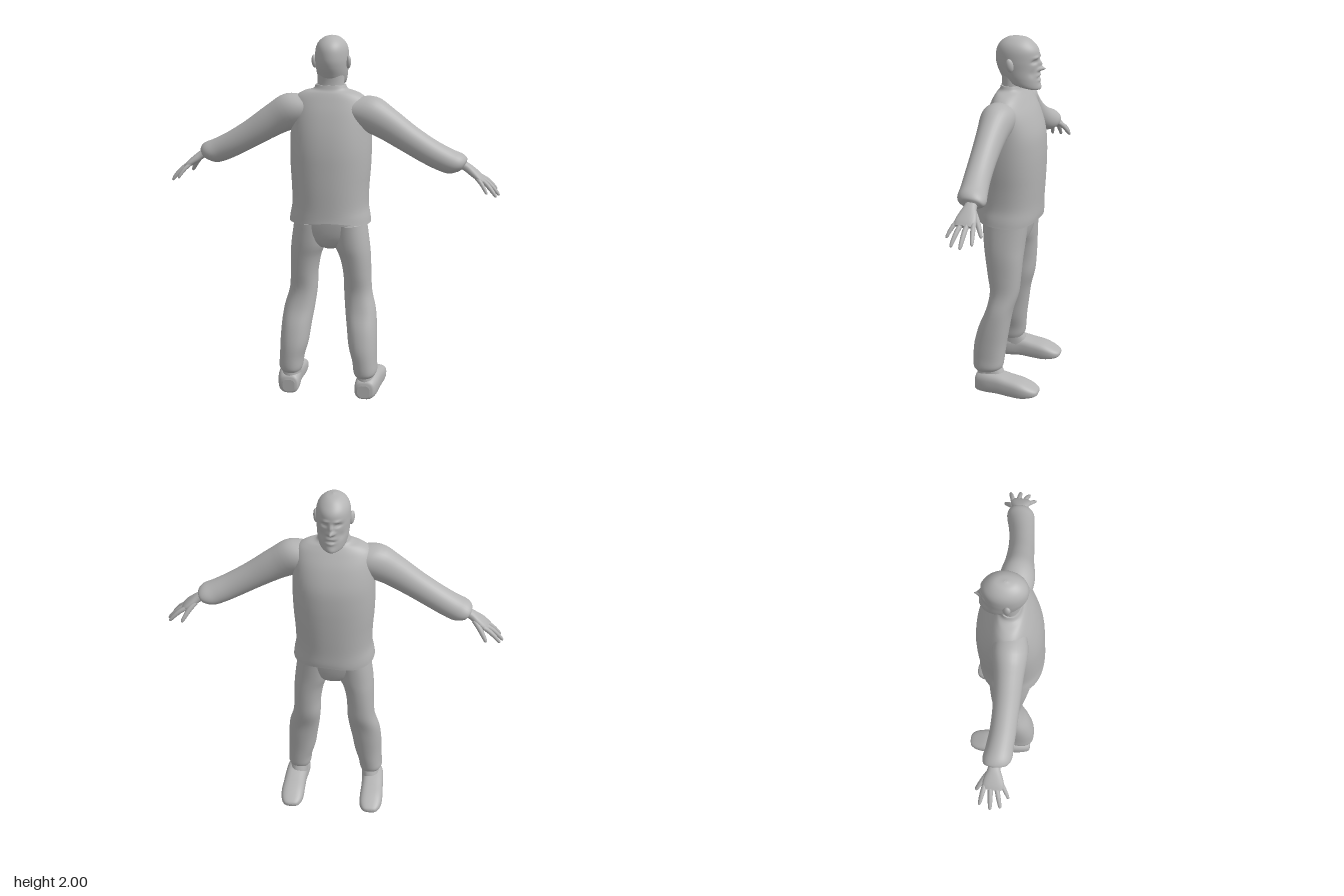
import * as THREE from 'three';

const V = (x, y, z) => new THREE.Vector3(x, y, z);

// Smooth skin through rings {c, u, v}; u x v points along the skin. n squares the section.
function loft(rings, { segs = 32, steps = 4, n = 2 } = {}) {
  const curve = k => new THREE.CatmullRomCurve3(rings.map(r => r[k]), false, 'catmullrom', 0.5);
  const [cc, cu, cv] = ['c', 'u', 'v'].map(curve);
  const rows = (rings.length - 1) * steps;
  const pos = [], index = [];
  const pw = a => Math.sign(a) * Math.abs(a) ** (2 / n);
  for (let i = 0; i <= rows; i++) {
    const t = i / rows, c = cc.getPoint(t), u = cu.getPoint(t), v = cv.getPoint(t);
    for (let j = 0; j < segs; j++) {
      const a = j / segs * Math.PI * 2;
      const p = c.clone().addScaledVector(u, pw(Math.cos(a))).addScaledVector(v, pw(Math.sin(a)));
      pos.push(p.x, p.y, p.z);
      if (i < rows) {
        const a0 = i * segs + j, a1 = i * segs + (j + 1) % segs;
        index.push(a0, a1, a1 + segs, a0, a1 + segs, a0 + segs);
      }
    }
  }
  // end caps with their own corners, so the rims stay sharp
  for (const [row, flip, r] of [[0, true, rings[0]], [rows, false, rings[rings.length - 1]]]) {
    const base = pos.length / 3;
    for (let k = 0; k < segs * 3; k++) pos.push(pos[row * segs * 3 + k]);
    pos.push(r.c.x, r.c.y, r.c.z);
    for (let j = 0; j < segs; j++) {
      const a = base + j, b = base + (j + 1) % segs;
      index.push(...(flip ? [b, a, base + segs] : [a, b, base + segs]));
    }
  }
  const g = new THREE.BufferGeometry();
  g.setAttribute('position', new THREE.Float32BufferAttribute(pos, 3));
  g.setIndex(index);
  g.computeVertexNormals();
  return g;
}

// Level ring: height, centre x, half width, front z, back z, tilt
const level = ([y, x, hx, zf, zb, tilt = 0]) => {
  const hz = (zb - zf) / 2;
  return { c: V(x, y, (zf + zb) / 2), u: V(0, tilt * hz, hz), v: V(hx, 0, 0) };
};

// Ring across the arm direction: x, y, z, half depth, half thickness
const armDir = V(0.83, -0.56, 0);
const across = ([x, y, z, hz, hr]) => ({ c: V(x, y, z), u: V(0, 0, hz), v: V(armDir.y * hr, -armDir.x * hr, 0) });

// Ring across the shoe: z, centre x, half width, sole y, top y
const shoeRing = ([z, x, hx, y0, y1]) => ({ c: V(x, (y0 + y1) / 2, z), u: V(0, (y1 - y0) / 2, 0), v: V(hx, 0, 0) });

function headGeometry() {
  const g = loft([
    [1.742, 0, 0.05, -0.115, 0.045, 0.25],
    [1.755, 0, 0.07, -0.13, 0.068, 0.25],
    [1.79, 0, 0.08, -0.131, 0.082, 0.14],
    [1.835, 0, 0.085, -0.127, 0.097, 0.04],
    [1.88, 0, 0.088, -0.128, 0.105],
    [1.93, 0, 0.085, -0.124, 0.1],
    [1.965, 0, 0.07, -0.1, 0.08],
    [1.99, 0, 0.04, -0.065, 0.045],
    [2.0, 0, 0.004, -0.015, 0.0],
  ].map(level), { segs: 72, steps: 9 });
  // face relief: x, y, spread x, spread y, depth (negative is outward)
  const relief = [
    [0, 1.836, 0.011, 0.011, -0.034], [0, 1.862, 0.009, 0.018, -0.016],
    [0.017, 1.832, 0.006, 0.007, -0.008],
    [0.036, 1.876, 0.016, 0.009, 0.016], [0.036, 1.876, 0.009, 0.005, -0.008],
    [0.03, 1.899, 0.018, 0.006, -0.007], [0.05, 1.815, 0.014, 0.02, 0.006],
    [0, 1.803, 0.025, 0.008, -0.007], [0, 1.788, 0.02, 0.004, 0.008],
    [0, 1.775, 0.017, 0.006, -0.007], [0, 1.735, 0.024, 0.02, -0.008],
  ];
  const p = g.attributes.position;
  for (let i = 0; i < p.count; i++) {
    const x = Math.abs(p.getX(i)), y = p.getY(i), z = p.getZ(i);
    if (z > -0.03) continue;
    let d = 0;
    for (const [rx, ry, sx, sy, a] of relief) d += a * Math.exp(-(((x - rx) / sx) ** 2) - ((y - ry) / sy) ** 2);
    p.setZ(i, z + d * Math.min(1, (-0.03 - z) / 0.04));
  }
  g.computeVertexNormals();
  return g;
}

function fingerGeometry(from, to, r) {
  const dir = to.clone().sub(from).normalize();
  const side = V(0, 0, 1).addScaledVector(dir, -dir.z).normalize();
  const up = dir.clone().cross(side);
  const ring = (t, s, lift) => ({
    c: from.clone().lerp(to, t).add(V(0, lift, 0)),
    u: side.clone().multiplyScalar(r * s), v: up.clone().multiplyScalar(r * s),
  });
  return loft([ring(0, 1, 0), ring(0.4, 1, 0.008), ring(0.75, 0.85, 0.005), ring(0.95, 0.6, 0), ring(1, 0.1, 0)],
    { segs: 10, steps: 2 });
}

export function createModel() {
  const model = new THREE.Group();
  model.name = 'standingMan';
  const grey = new THREE.MeshStandardMaterial({ color: 0xb4b4b4 });
  grey.name = 'plainGrey';
  const add = (parent, name, geometry) => {
    const m = new THREE.Mesh(geometry, grey);
    m.name = name;
    parent.add(m);
    return m;
  };

  // head and neck
  add(model, 'head', headGeometry());
  add(model, 'neck', loft([
    [1.68, 0, 0.09, -0.045, 0.085], [1.73, 0, 0.075, -0.035, 0.072],
    [1.77, 0, 0.072, -0.04, 0.07], [1.82, 0, 0.07, -0.05, 0.075],
  ].map(level)));

  // sweater body with a loose hem
  const sweater = loft([
    [1.012, 0, 0.222, -0.145, 0.207, 0.05], [1.04, 0, 0.218, -0.148, 0.205, 0.04],
    [1.1, 0, 0.207, -0.15, 0.203], [1.2, 0, 0.209, -0.156, 0.201],
    [1.3, 0, 0.216, -0.16, 0.196], [1.4, 0, 0.219, -0.16, 0.188],
    [1.5, 0, 0.217, -0.15, 0.17], [1.6, 0, 0.212, -0.115, 0.14],
    [1.67, 0, 0.195, -0.075, 0.11], [1.705, 0, 0.15, -0.052, 0.092],
    [1.722, 0, 0.095, -0.042, 0.08], [1.745, 0, 0.08, -0.036, 0.073],
  ].map(level), { segs: 48, n: 2.25 });
  const sp = sweater.attributes.position;
  for (let i = 0; i < sp.count; i++) {
    const y = sp.getY(i);
    if (y < 1.06) sp.setY(i, y + 0.009 * Math.sin(sp.getX(i) * 16 + 1) * Math.min(1, (1.06 - y) / 0.04));
  }
  sweater.computeVertexNormals();
  add(model, 'sweaterBody', sweater);

  // seat of the trousers
  add(model, 'trouserSeat', loft([
    [0.845, 0, 0.03, -0.02, 0.06], [0.87, 0, 0.09, -0.065, 0.11], [0.92, 0, 0.16, -0.088, 0.14],
    [1.0, 0, 0.2, -0.105, 0.155], [1.08, 0, 0.195, -0.11, 0.16],
  ].map(level), { n: 2.3 }));

  // limbs, mirrored left and right
  for (const s of [1, -1]) {
    const side = new THREE.Group();
    side.name = s > 0 ? 'leftLimbs' : 'rightLimbs';
    side.scale.x = s;
    model.add(side);

    add(side, 'ear', new THREE.SphereGeometry(1, 16, 12).scale(0.014, 0.036, 0.02)
      .rotateX(0.2).rotateY(0.35).translate(0.091, 1.862, 0.004));

    add(side, 'sleeve', loft([
      [0.08, 1.625, 0.03, 0.07, 0.07], [0.19, 1.605, 0.032, 0.09, 0.1],
      [0.3, 1.55, 0.035, 0.076, 0.087], [0.42, 1.474, 0.035, 0.068, 0.075],
      [0.53, 1.408, 0.03, 0.067, 0.07], [0.615, 1.365, 0.02, 0.07, 0.068],
      [0.67, 1.345, 0.012, 0.074, 0.064], [0.703, 1.338, 0.005, 0.062, 0.045],
      [0.712, 1.332, 0, 0.038, 0.028],
    ].map(across)));

    // hand with five spread fingers
    const hand = new THREE.Group();
    hand.name = 'hand';
    side.add(hand);
    add(hand, 'palm', loft([
      [0.68, 1.35, 0, 0.03, 0.024], [0.725, 1.328, 0, 0.032, 0.023], [0.76, 1.303, 0, 0.046, 0.022],
      [0.795, 1.277, 0.002, 0.055, 0.018], [0.818, 1.262, 0.003, 0.046, 0.01],
    ].map(across), { segs: 20, n: 2.3 }));
    [
      ['thumb', 0.745, 1.305, -0.028, 0.815, 1.212, -0.086, 0.014],
      ['indexFinger', 0.795, 1.275, -0.04, 0.888, 1.2, -0.062, 0.0125],
      ['middleFinger', 0.805, 1.27, -0.011, 0.905, 1.18, -0.006, 0.013],
      ['ringFinger', 0.803, 1.27, 0.019, 0.892, 1.182, 0.045, 0.0125],
      ['littleFinger', 0.785, 1.278, 0.042, 0.845, 1.205, 0.084, 0.011],
    ].forEach(([name, ax, ay, az, bx, by, bz, r]) => add(hand, name, fingerGeometry(V(ax, ay, az), V(bx, by, bz), r)));

    add(side, 'trouserLeg', loft([
      [0.14, 0.208, 0.056, 0.02, 0.165, -0.1], [0.165, 0.211, 0.066, 0.008, 0.178, -0.1],
      [0.22, 0.206, 0.068, 0.002, 0.18], [0.3, 0.194, 0.078, -0.006, 0.175],
      [0.4, 0.185, 0.083, -0.02, 0.15], [0.5, 0.172, 0.085, -0.036, 0.112],
      [0.6, 0.154, 0.077, -0.064, 0.096], [0.7, 0.149, 0.076, -0.075, 0.11],
      [0.8, 0.138, 0.084, -0.082, 0.126], [0.88, 0.119, 0.096, -0.088, 0.14],
      [1.0, 0.104, 0.094, -0.1, 0.15],
    ].map(level), { segs: 28, n: 2.2 }));

    // ankle and shoe
    add(side, 'ankle', loft([
      [0.05, 0.22, 0.058, 0.0, 0.16], [0.11, 0.214, 0.051, -0.002, 0.156], [0.18, 0.21, 0.048, 0.025, 0.15],
    ].map(level), { segs: 24, n: 2.3 }));
    add(side, 'shoe', loft([
      [0.163, 0.213, 0.035, 0.018, 0.09], [0.152, 0.216, 0.055, 0.008, 0.115], [0.1, 0.222, 0.064, 0.006, 0.135],
      [0.03, 0.228, 0.063, 0.01, 0.135], [-0.04, 0.23, 0.064, 0.006, 0.122], [-0.11, 0.231, 0.066, 0.006, 0.108],
      [-0.165, 0.23, 0.058, 0.018, 0.085], [-0.198, 0.23, 0.038, 0.032, 0.066], [-0.206, 0.23, 0.012, 0.044, 0.054],
    ].map(shoeRing), { segs: 28, n: 2.8 }));
  }
  return model;
}
